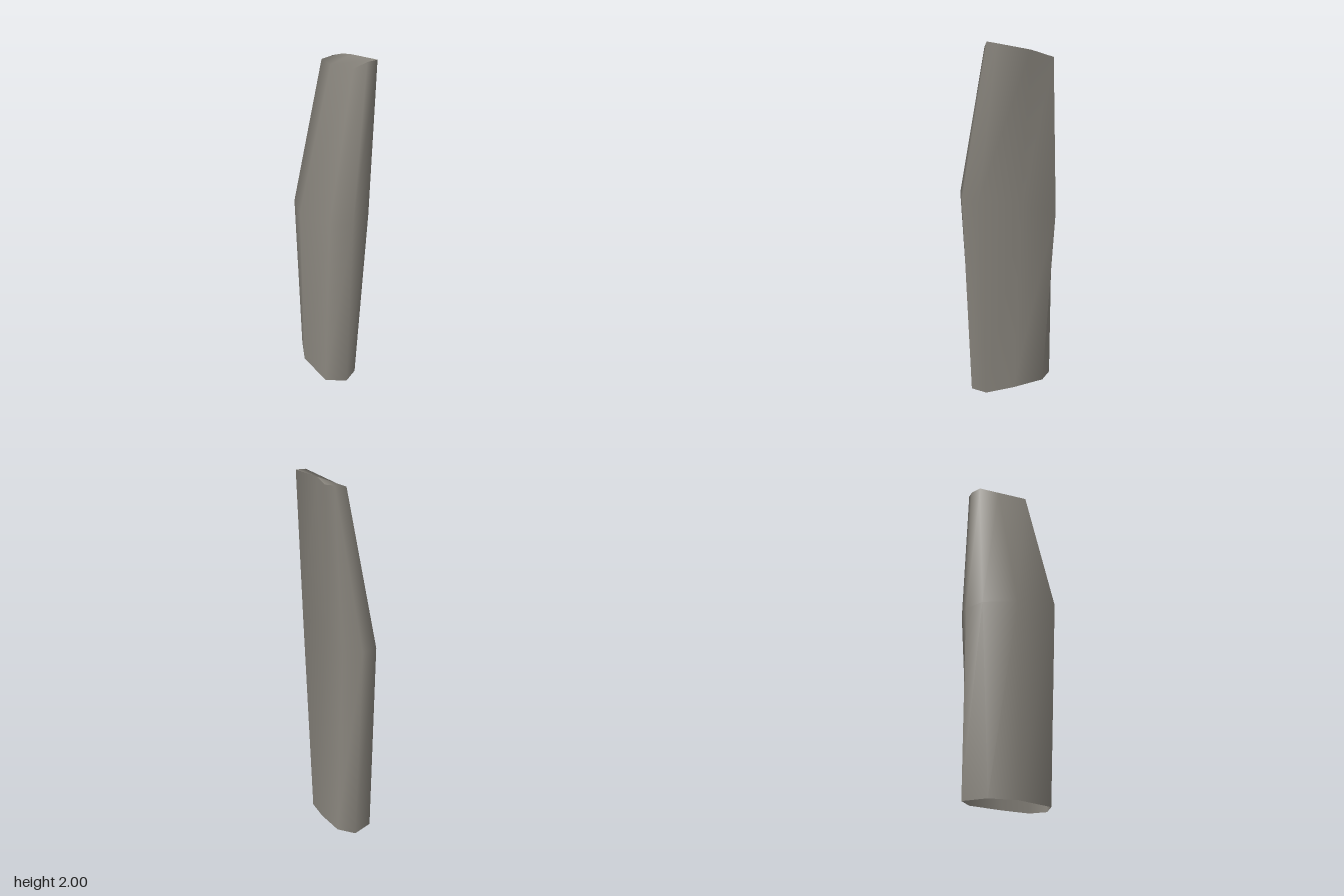
import * as THREE from 'three';

// Cross-sections of the stone, each counter-clockwise from the front: [x, y, z]
const base = [
  [-0.01, 0, 0.242], [0.072, 0, 0.185], [0.083, 0, 0.015], [0.072, 0, -0.185],
  [0, 0, -0.27], [-0.125, 0, -0.195], [-0.17, 0, -0.045], [-0.125, 0, 0.185],
];
const waist = [
  [-0.005, 1.16, 0.285], [0.107, 1.17, 0.237], [0.07, 1.11, -0.04], [0.075, 1.04, -0.255],
  [-0.028, 1.04, -0.288], [-0.13, 1.05, -0.245], [-0.174, 1.09, -0.045], [-0.122, 1.17, 0.247],
];
const crown = [
  [0.105, 2, 0.178], [0.172, 1.995, 0.157], [0.135, 1.955, -0.06], [0.145, 1.915, -0.188],
  [0.095, 1.91, -0.2], [0.022, 1.905, -0.184], [0.017, 1.92, -0.055], [0.04, 1.97, 0.162],
];
const N = base.length;

// Crown corners 1 to 3 are doubled, for a sharp edge along the left wall
const sharpCorners = crown.slice(1, 4);

// Strip of triangles that closes the crown
const cap = [0, 1, 7, 1, 2, 6, 1, 6, 7, 2, 3, 5, 2, 5, 6, 3, 4, 5];

export function createModel() {
  const group = new THREE.Group();
  group.name = 'standingStone';
  const stone = new THREE.MeshStandardMaterial({ color: 0x8c8880, side: THREE.DoubleSide });
  stone.name = 'weathered grey stone';

  // Walls between the rings, open at the foot
  const index = [];
  for (let r = 0; r < 2; r++) {
    for (let i = 0; i < N; i++) {
      const a = r * N + i;
      const b = r * N + ((i + 1) % N);
      index.push(a, b, b + N, a, b + N, a + N);
    }
  }

  // Slanting crown, smooth with the walls except at the doubled corners
  index.push(...cap.map((i) => (i >= 1 && i <= 3 ? 3 * N + i - 1 : 2 * N + i)));

  const geometry = new THREE.BufferGeometry();
  const points = [...base, ...waist, ...crown, ...sharpCorners];
  geometry.setAttribute('position', new THREE.Float32BufferAttribute(points.flat(), 3));
  geometry.setIndex(index);
  geometry.computeVertexNormals();

  const body = new THREE.Mesh(geometry, stone);
  body.name = 'stoneBody';
  group.add(body);
  return group;
}
